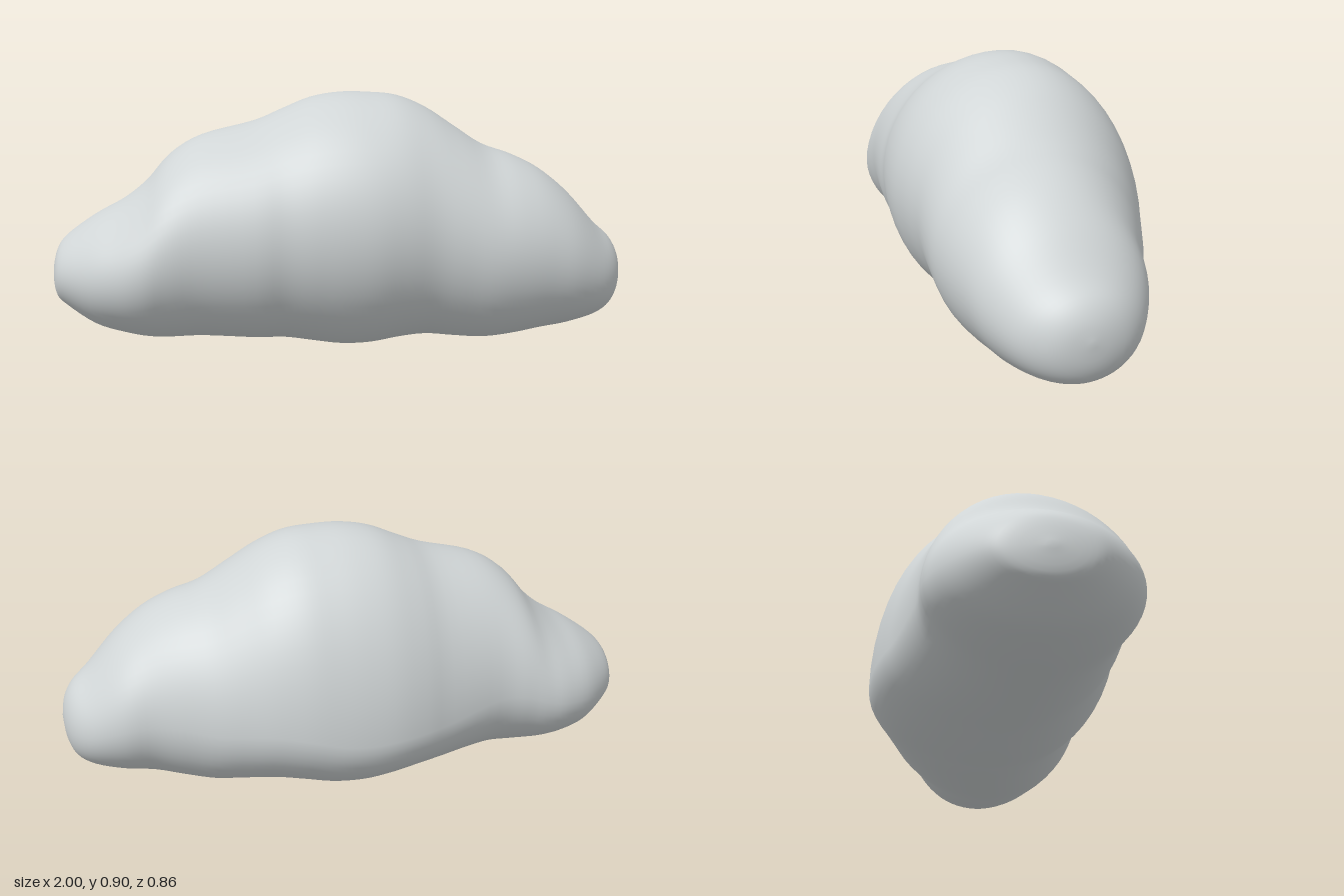
import * as THREE from 'three';

// Cross-sections along the cloud: x, top, bottom, back z, front z
const SECTIONS = [
  [-1.0, 0.28, 0.28, 0.03, 0.03],
  [-0.985, 0.36, 0.20, -0.09, 0.14],
  [-0.95, 0.41, 0.165, -0.16, 0.21],
  [-0.85, 0.48, 0.10, -0.255, 0.30],
  [-0.75, 0.535, 0.07, -0.30, 0.355],
  [-0.67, 0.60, 0.055, -0.31, 0.38],
  [-0.59, 0.69, 0.05, -0.31, 0.385],
  [-0.48, 0.755, 0.05, -0.315, 0.385],
  [-0.3, 0.80, 0.035, -0.365, 0.40],
  [-0.2, 0.84, 0.03, -0.40, 0.40],
  [-0.1, 0.88, 0.015, -0.425, 0.415],
  [0.0, 0.897, 0.002, -0.435, 0.425],
  [0.1, 0.896, 0.004, -0.435, 0.425],
  [0.2, 0.885, 0.02, -0.425, 0.41],
  [0.3, 0.845, 0.03, -0.40, 0.39],
  [0.4, 0.78, 0.025, -0.365, 0.385],
  [0.5, 0.715, 0.022, -0.33, 0.38],
  [0.6, 0.68, 0.035, -0.29, 0.365],
  [0.7, 0.63, 0.055, -0.25, 0.34],
  [0.8, 0.55, 0.07, -0.225, 0.305],
  [0.9, 0.44, 0.095, -0.17, 0.24],
  [0.96, 0.385, 0.13, -0.11, 0.175],
  [0.99, 0.33, 0.19, -0.04, 0.11],
  [1.0, 0.27, 0.27, 0.03, 0.03],
];

// Smooth curve through one column of the sections
const curveOf = (column) =>
  new THREE.SplineCurve(SECTIONS.map((s) => new THREE.Vector2(s[0], s[column])));

function cloudGeometry(rings, sides) {
  const [top, bottom, back, front] = [1, 2, 3, 4].map(curveOf);
  const positions = [];
  const index = [];

  for (let i = 1; i < rings; i++) {
    const t = i / rings;
    const { x, y: yTop } = top.getPoint(t);
    const yBottom = bottom.getPoint(t).y;
    const zBack = back.getPoint(t).y;
    const zFront = front.getPoint(t).y;
    const zMid = (zBack + zFront) / 2;
    const half = (zFront - zBack) / 2;
    // The widest line sits mid-height in front and sags low at the back
    const middle = (yTop + yBottom) / 2;
    const bulge = Math.exp(-((x / 0.5) ** 2));
    const sag = middle - 0.19 * bulge;

    for (let j = 0; j < sides; j++) {
      const a = (j / sides) * Math.PI * 2;
      const c = Math.cos(a);
      const s = Math.sin(a);
      const widest = c >= 0 ? middle : sag;
      const reach = s >= 0 ? yTop - widest : widest - yBottom;
      positions.push(x, widest + reach * s, zMid + half * c);
    }
  }

  // Sides between neighbouring rings
  for (let i = 0; i < rings - 2; i++) {
    for (let j = 0; j < sides; j++) {
      const a = i * sides + j;
      const b = i * sides + ((j + 1) % sides);
      index.push(a, a + sides, b, b, a + sides, b + sides);
    }
  }

  // Rounded tips
  const tipA = positions.length / 3;
  const tipB = tipA + 1;
  positions.push(-1, 0.28, 0.03, 1, 0.27, 0.03);
  const last = (rings - 2) * sides;
  for (let j = 0; j < sides; j++) {
    const k = (j + 1) % sides;
    index.push(tipA, j, k, last + j, tipB, last + k);
  }

  const geometry = new THREE.BufferGeometry();
  geometry.setAttribute('position', new THREE.Float32BufferAttribute(positions, 3));
  geometry.setIndex(index);
  geometry.computeVertexNormals();
  return geometry;
}

export function createModel() {
  const group = new THREE.Group();
  group.name = 'cloud';
  const cloudGrey = new THREE.MeshStandardMaterial({ color: 0xd0d5d6 });
  cloudGrey.name = 'cloudGrey';

  const body = new THREE.Mesh(cloudGeometry(92, 56), cloudGrey);
  body.name = 'cloudBody';
  group.add(body);
  return group;
}
